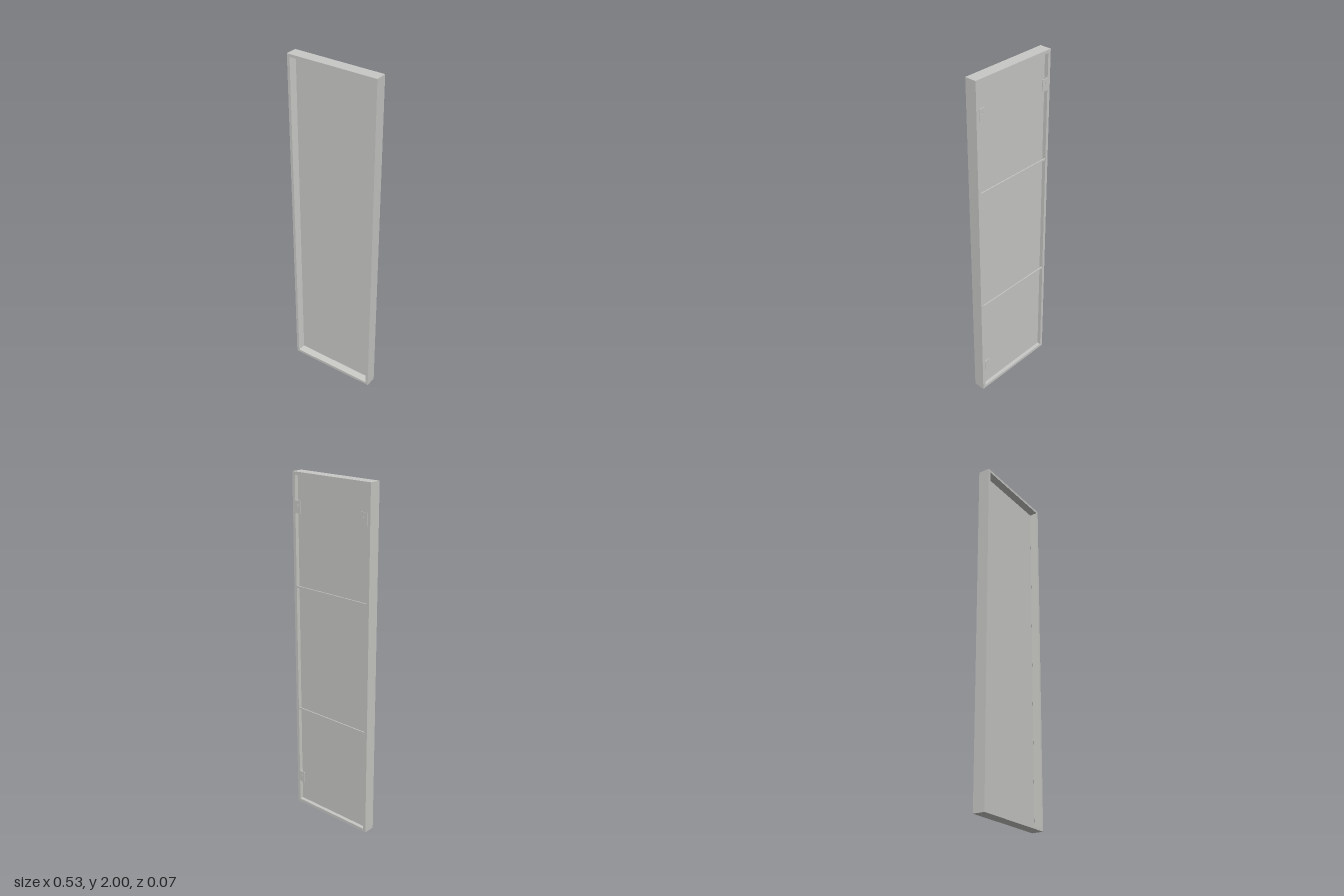
import * as THREE from 'three';

const W = 0.267, H = 2, D = 0.034; // half width, height, half depth

// Sweeps a closed (inset, z) profile round the rectangular outline, with mitred corners
function mitredFrame(profile) {
  const corners = [[1, -1], [1, 1], [-1, 1], [-1, -1]];
  const point = (c, [inset, z]) => [c[0] * (W - inset), H / 2 + c[1] * (H / 2 - inset), z];
  const pos = [];
  corners.forEach((c, i) => {
    const d = corners[(i + 1) % 4];
    profile.forEach((p, j) => {
      const q = profile[(j + 1) % profile.length];
      const a = point(c, p), b = point(d, p), e = point(d, q), f = point(c, q);
      pos.push(...a, ...b, ...e, ...a, ...e, ...f);
    });
  });
  const g = new THREE.BufferGeometry();
  g.setAttribute('position', new THREE.Float32BufferAttribute(pos, 3));
  g.computeVertexNormals();
  return g;
}

// Small plate with a keyhole slot, centred on the origin
function keyholePlate(w, h, t) {
  const s = new THREE.Shape();
  s.moveTo(-w / 2, -h / 2);
  s.lineTo(w / 2, -h / 2);
  s.lineTo(w / 2, h / 2);
  s.lineTo(-w / 2, h / 2);
  s.closePath();
  const hole = new THREE.Path();
  hole.absarc(0, -0.005, 0.008, Math.PI * 0.36, Math.PI * 2.64, false);
  hole.lineTo(-0.0035, 0.016);
  hole.lineTo(0.0035, 0.016);
  hole.closePath();
  s.holes.push(hole);
  return new THREE.ExtrudeGeometry(s, { depth: t, bevelEnabled: false, curveSegments: 16 });
}

export function createModel() {
  const root = new THREE.Group();
  root.name = 'panelDoor';
  const grey = new THREE.MeshStandardMaterial({ color: 0xc8c8c5 });
  grey.name = 'lightGrey';

  const add = (name, geometry, x, y, z, parent = root) => {
    const m = new THREE.Mesh(geometry, grey);
    m.name = name;
    m.position.set(x, y, z);
    parent.add(m);
    return m;
  };

  // Outer frame: sloped walls at the front, square walls at the back
  add('frame', mitredFrame([
    [0, -D], [0, D], [0.016, D], [0.026, -0.004], [0.018, -0.011], [0.018, -D],
  ]), 0, 0, 0);

  // Recessed panel
  add('panel', new THREE.BoxGeometry(2 * W - 0.036, H - 0.036, 0.007), 0, H / 2, -0.0085);

  // Cross rails at the back
  for (const y of [0.63, 1.37]) {
    add('crossRail', new THREE.BoxGeometry(2 * W - 0.036, 0.011, 0.006), 0, y, -0.03);
  }

  // Keyhole hangers: two at the top, one at the bottom
  const plate = keyholePlate(0.037, 0.068, 0.004);
  const flange = new THREE.BoxGeometry(0.003, 0.068, 0.021);
  for (const [side, y] of [[1, 1.815], [-1, 1.815], [1, 0.18]]) {
    const hanger = new THREE.Group();
    hanger.name = 'hanger';
    hanger.position.set(side * 0.229, y, 0);
    add('hangerPlate', plate, 0, 0, -0.0355, hanger);
    add('hangerFlange', flange, side * 0.017, 0, -0.0215, hanger);
    root.add(hanger);
  }

  return root;
}
